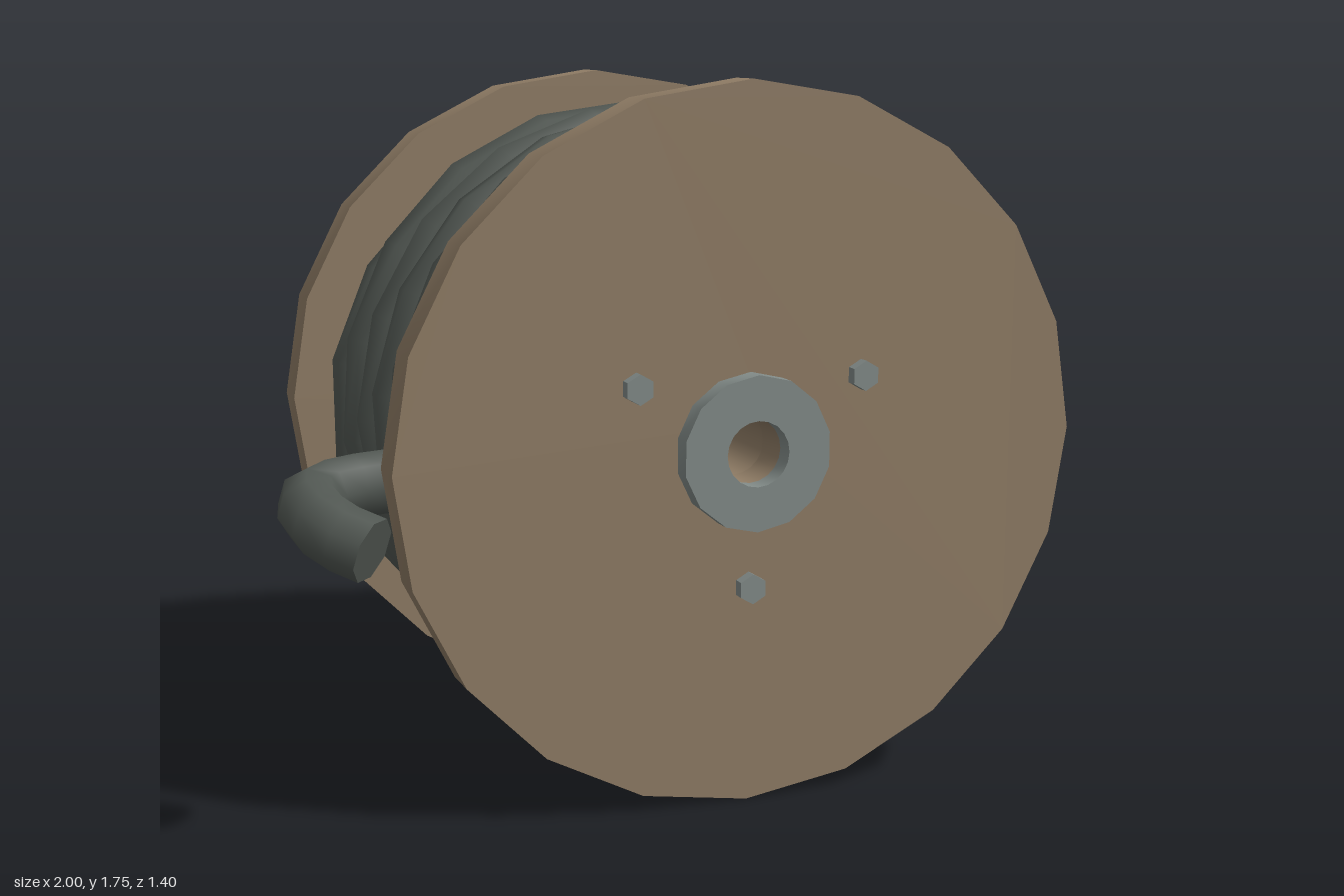
import * as THREE from 'three';
import { mergeGeometries, toCreasedNormals } from 'three/addons/utils/BufferGeometryUtils.js';

const CX = 0.125, CY = 0.878;   // spool axis
const ROPE_R = 0.08;

// Regular polygon ring of points, first corner at the top
function polygon(radius, sides) {
  return Array.from({ length: sides }, (_, i) => {
    const a = Math.PI / 2 + (i / sides) * Math.PI * 2;
    return new THREE.Vector2(Math.cos(a) * radius, Math.sin(a) * radius);
  });
}

// Disc along z with an optional round bore
function disc(radius, sides, bore, z0, z1) {
  const shape = new THREE.Shape(polygon(radius, sides));
  if (bore) shape.holes.push(new THREE.Path(polygon(bore, 20)));
  const geo = new THREE.ExtrudeGeometry(shape, { depth: z1 - z0, bevelEnabled: false });
  geo.translate(0, 0, z0);
  return toCreasedNormals(geo, 0.5);
}

// Tube with flat ends cut square to the path
function rope(curve, segments, radius) {
  const tube = new THREE.TubeGeometry(curve, segments, radius, 8, false);
  const cap = (i, sign) => {
    const m = new THREE.Matrix4().makeBasis(
      tube.normals[i],
      tube.binormals[i].clone().multiplyScalar(sign),
      tube.tangents[i].clone().multiplyScalar(sign)
    ).setPosition(curve.getPointAt(i / segments));
    return new THREE.CircleGeometry(radius, 8).applyMatrix4(m);
  };
  return mergeGeometries([tube, cap(0, -1), cap(segments, 1)]);
}

// Winding: u counts turns from the left side, over the top, to the right
class Winding extends THREE.Curve {
  constructor(from, to, radiusAt, depthAt) {
    super();
    Object.assign(this, { from, to, radiusAt, depthAt });
  }
  getPoint(t, target = new THREE.Vector3()) {
    const u = this.from + (this.to - this.from) * t;
    const a = Math.PI - u * Math.PI * 2, r = this.radiusAt(u);
    return target.set(CX + Math.cos(a) * r, CY + Math.sin(a) * r, this.depthAt(u));
  }
}

export function createModel() {
  const group = new THREE.Group();
  const material = (name, color) => {
    const m = new THREE.MeshStandardMaterial({ color });
    m.name = name;
    return m;
  };
  const wood = material('wood', 0x8f7c65);
  const metal = material('metal', 0x828b88);
  const cable = material('cable', 0x525853);

  const add = (name, geo, mat, x = 0, y = 0) => {
    const mesh = new THREE.Mesh(geo, mat);
    mesh.name = name;
    mesh.position.set(x, y, 0);
    group.add(mesh);
  };

  // Drum core and the wooden lining of its bore
  add('drum', disc(0.484, 32, 0.1, -0.545, 0.44), metal, CX, CY);
  add('boreLining', disc(0.1, 20, 0.08, -0.545, 0.44), wood, CX, CY);

  // Flanges, hubs and bolts at both ends
  for (const [end, inner, s] of [['front', 0.437, 1], ['back', -0.543, -1]]) {
    const span = (a, b) => [inner + s * a, inner + s * b].sort((p, q) => p - q);
    add(end + 'Flange', disc(0.877, 20, 0.08, ...span(0, 0.103)), wood, CX, CY);
    add(end + 'Hub', disc(0.19, 14, 0.08, ...span(0.103, 0.155)), metal, CX, CY);
    for (let i = 0; i < 3; i++) {
      const a = Math.PI / 6 + i * Math.PI * 2 / 3;
      add(end + 'Bolt', disc(0.037, 6, 0, ...span(0.09, 0.133)), metal,
        CX + Math.cos(a) * 0.336, CY + Math.sin(a) * 0.336);
    }
  }

  // Five full turns, then the end tucks in toward the drum
  const coil = new Winding(0, 5.66,
    u => (u < 5 ? 0.72 : Math.max(0.56, 0.72 - 0.34 * (u - 5))),
    u => Math.max(-0.462, 0.35 - 0.163 * u));
  add('coil', rope(coil, 102, ROPE_R), cable);

  // Tucked tail under the first turn
  const tail = new Winding(0.2, 0.5,
    u => 0.71 - 0.5 * (u - 0.2),
    u => 0.31 + 0.12 * (u - 0.2));
  add('tuckedTail', rope(tail, 6, 0.075), cable);

  // Loose end hooking out to the front
  const loose = new THREE.CatmullRomCurve3([
    [-0.57, 0.83, 0.345], [-0.78, 0.82, 0.335], [-0.89, 0.81, 0.375],
    [-0.923, 0.80, 0.47], [-0.895, 0.77, 0.58], [-0.825, 0.74, 0.645]
  ].map(p => new THREE.Vector3(...p)));
  add('looseEnd', rope(loose, 9, 0.077), cable);

  return group;
}
